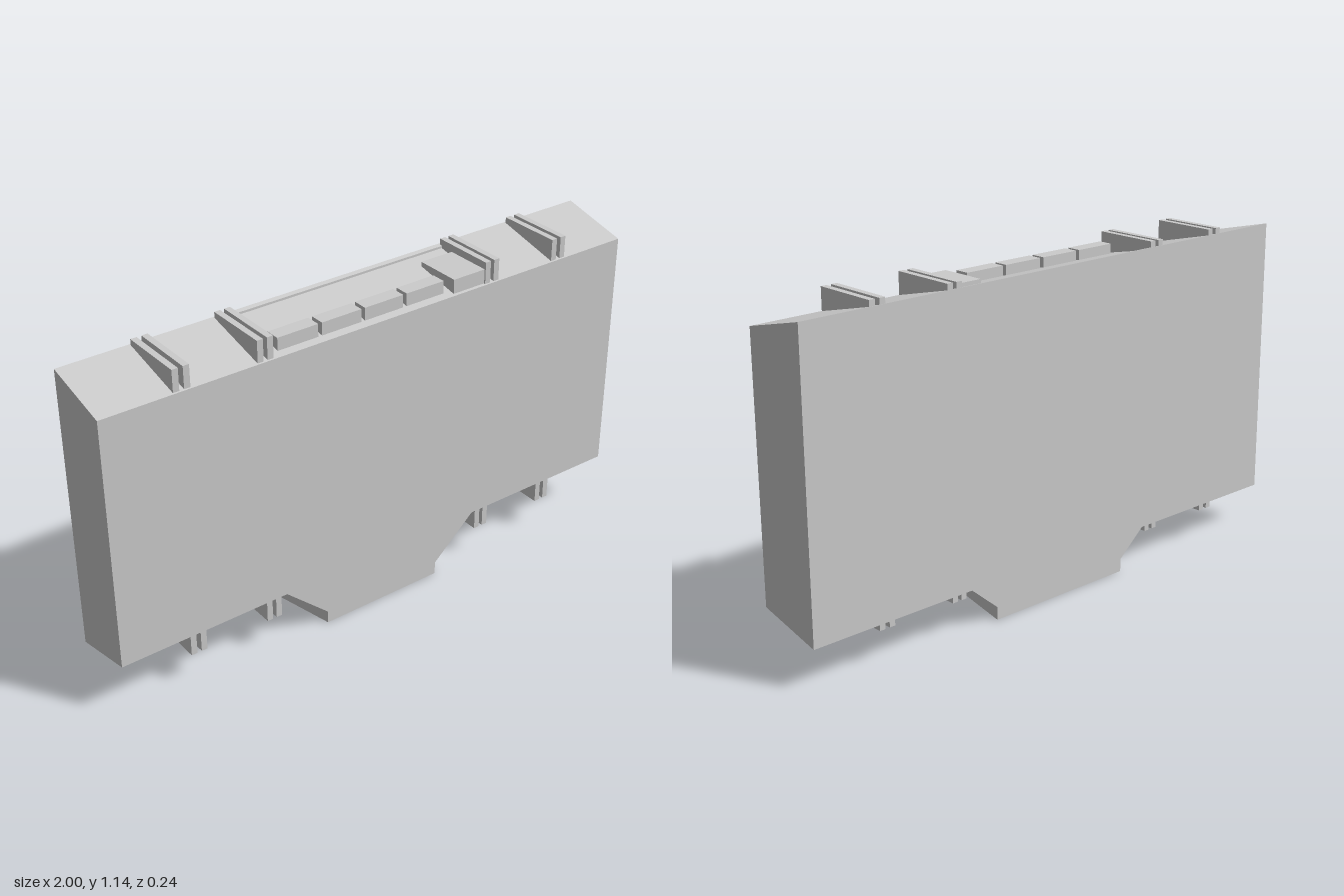
import * as THREE from 'three';

const D = 0.12; // half depth
const topY = z => 1.0925 - z * 0.24;    // sloped top surface
const underY = z => 0.163 + z * 0.23;   // sloped underside

export function createModel() {
  const group = new THREE.Group();
  const solid = new THREE.MeshStandardMaterial({ color: 0xcccccc, flatShading: true });
  const shellMaterial = solid.clone();
  shellMaterial.side = THREE.DoubleSide;

  const add = (geometry, name, material = solid) => {
    const mesh = new THREE.Mesh(geometry, material);
    mesh.name = name;
    group.add(mesh);
    return mesh;
  };

  // Outline at depth z, counter-clockwise seen from the front
  const outline = (z, footX) => {
    const half = [[0.41, topY(z)], [1, topY(z)], [1, underY(z)], [0.39, underY(z)], [footX, 0.045], [footX, 0]];
    const left = half.map(([x, y]) => [-x, y]);
    return [...left, ...half.reverse()].map(([x, y]) => new THREE.Vector3(x, y, z));
  };
  const front = outline(D, 0.23);
  const back = outline(-D, 0.285);
  const positions = [];
  const tri = (...points) => points.forEach(p => positions.push(p.x, p.y, p.z));
  const quad = (a, b, c, d) => { tri(a, b, c); tri(a, c, d); };

  // Front and back faces
  const cap = (points, flip) => {
    const flat = points.map(p => new THREE.Vector2(p.x, p.y));
    for (const [a, b, c] of THREE.ShapeUtils.triangulateShape(flat, [])) {
      if (flip) tri(points[a], points[c], points[b]);
      else tri(points[a], points[b], points[c]);
    }
  };
  cap(front, false);
  cap(back, true);

  // Rim between the faces; the foot is open below, the top middle is recessed
  const n = front.length;
  for (let i = 0; i < n; i++) {
    const j = (i + 1) % n;
    if (i === 5 || i === n - 1) continue;
    quad(front[i], back[i], back[j], front[j]);
  }

  // Recessed top panel with a small step along its rear edge
  const row = [[D, topY(D)], [-0.105, 1.11], [-0.105, topY(-0.105)], [-D, topY(-D)]];
  const at = (x, [z, y]) => new THREE.Vector3(x, y, z);
  for (let i = 0; i < row.length - 1; i++) {
    quad(at(-0.41, row[i]), at(0.41, row[i]), at(0.41, row[i + 1]), at(-0.41, row[i + 1]));
  }
  const shell = new THREE.BufferGeometry();
  shell.setAttribute('position', new THREE.Float32BufferAttribute(positions, 3));
  shell.computeVertexNormals();
  add(shell, 'body', shellMaterial);

  // Prism with a (z, y) profile, centred on x
  const prism = (profile, width, x) => {
    const shape = new THREE.Shape(profile.map(p => new THREE.Vector2(...p)));
    return new THREE.ExtrudeGeometry(shape, { depth: width, bevelEnabled: false })
      .rotateY(-Math.PI / 2).translate(x + width / 2, 0, 0);
  };

  // Paired fins above and below
  const f = 0.115;
  const upper = [[-f, topY(-f) - 0.01], [f, topY(f) - 0.01], [f, 1.14], [-f, 1.14]];
  const lower = [[-f, 0.113], [f, 0.113], [f, underY(f)], [-f, underY(-f)]];
  for (const side of [-1, 1]) {
    for (const x of [0.42, 0.455, 0.706, 0.743]) {
      add(prism(upper, 0.021, side * x), 'upperFin');
      add(prism(lower, 0.021, side * x), 'lowerFin');
    }
  }

  // Row of buttons and the larger block on the top
  const block = (x0, x1, z0, z1, y, name) =>
    add(prism([[z0, topY(z0) - 0.01], [z1, topY(z1) - 0.01], [z1, y], [z0, y]], x1 - x0, (x0 + x1) / 2), name);
  for (let i = 0; i < 4; i++) {
    const x = -0.38 + i * 0.162;
    block(x, x + 0.148, 0.042, 0.093, 1.113, 'button');
  }
  block(0.283, 0.41, -0.055, 0.11, 1.115, 'largeButton');

  return group;
}
